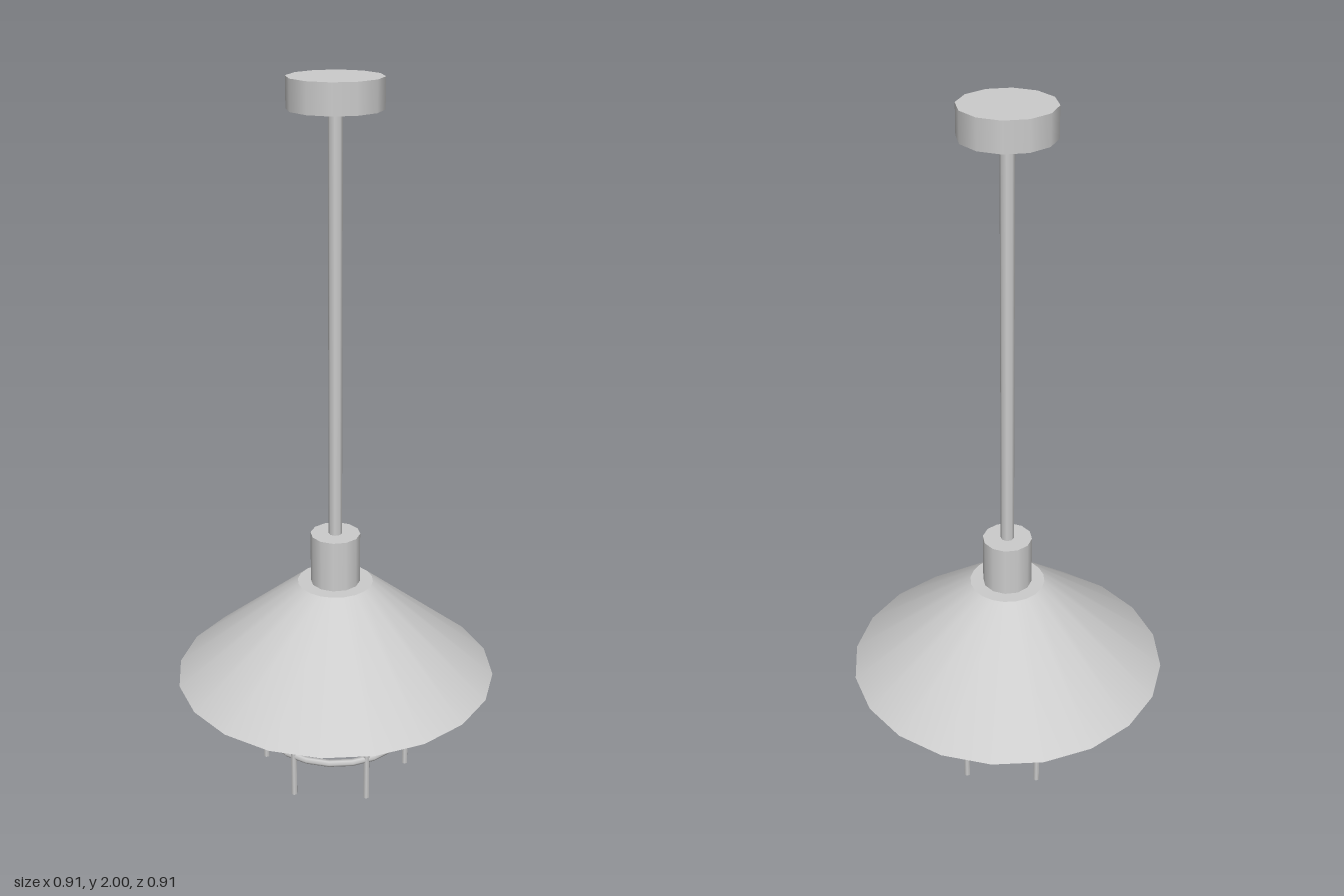
import * as THREE from 'three';

export function createModel() {
  const model = new THREE.Group();
  model.name = 'pendantLamp';
  const grey = new THREE.MeshStandardMaterial({ color: 0xcccccc });
  grey.name = 'light grey';

  const add = (name, geometry, x, y, z, parent = model) => {
    const mesh = new THREE.Mesh(geometry, grey);
    mesh.name = name;
    mesh.position.set(x, y, z);
    parent.add(mesh);
    return mesh;
  };

  // Upright cylinder or cone spanning two heights
  const column = (name, rTop, rBottom, y0, y1, sides) =>
    add(name, new THREE.CylinderGeometry(rTop, rBottom, y1 - y0, sides), 0, (y0 + y1) / 2, 0);

  column('ceilingCanopy', 0.125, 0.125, 1.92, 2, 12);
  column('rod', 0.019, 0.019, 0.75, 1.925, 8);
  column('neck', 0.07, 0.07, 0.6, 0.753, 12);
  column('shade', 0.107, 0.457, 0.318, 0.605, 20);

  // Bulb, half sunk into the underside of the shade
  add('bulb', new THREE.SphereGeometry(0.125, 12, 8), 0, 0.295, 0);

  // Wire cage: two rings and six posts
  const cage = new THREE.Group();
  cage.name = 'cage';
  model.add(cage);
  const radius = 0.208;
  for (const y of [0.128, 0.295]) {
    const ring = add('cageRing', new THREE.TorusGeometry(radius, 0.01, 6, 20), 0, y, 0, cage);
    ring.rotation.x = Math.PI / 2;
  }
  const postGeometry = new THREE.CylinderGeometry(0.009, 0.009, 0.32, 6);
  for (let i = 0; i < 6; i++) {
    const a = (i * Math.PI) / 3;
    add('cagePost', postGeometry, radius * Math.cos(a), 0.16, radius * Math.sin(a), cage);
  }
  return model;
}
